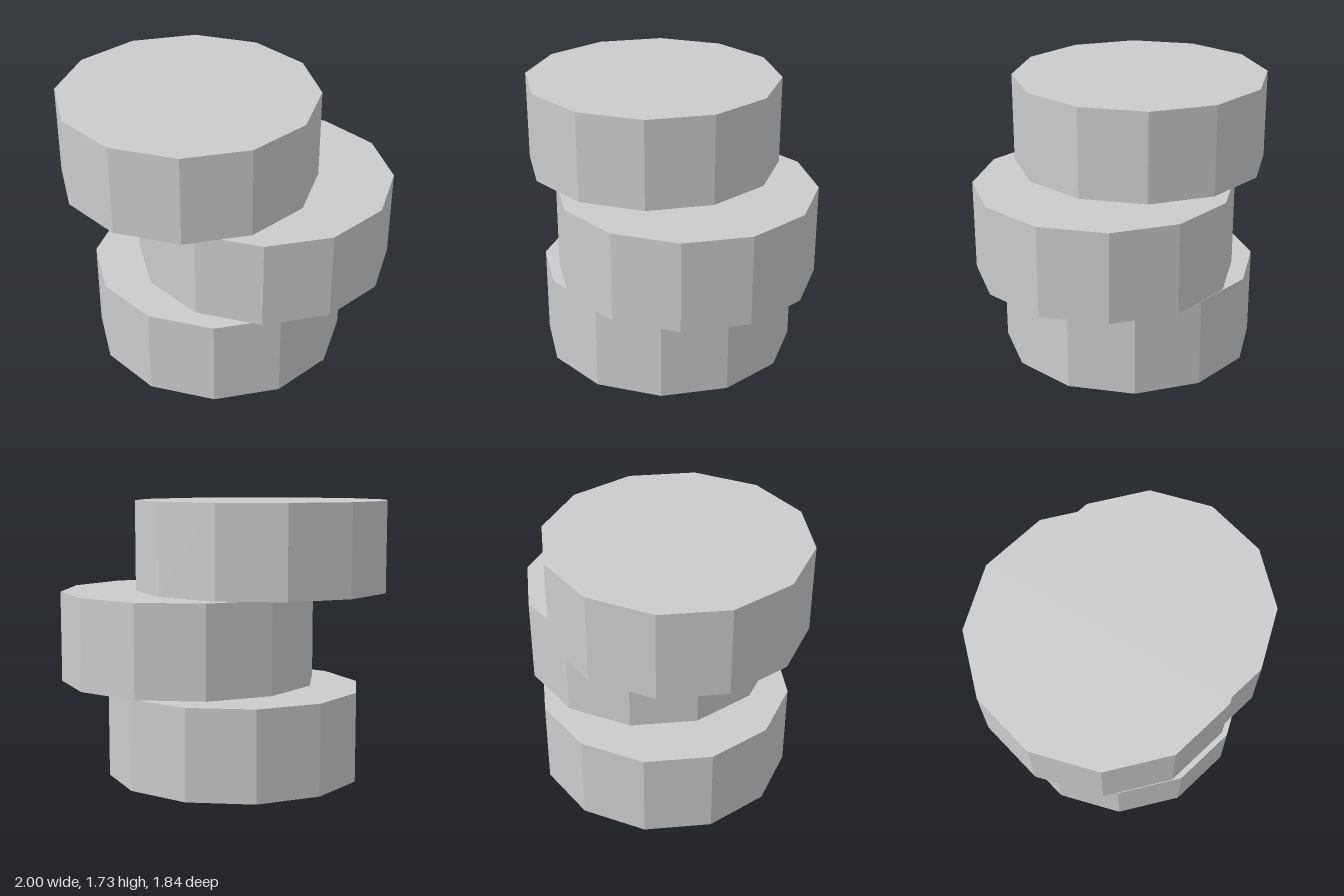
import * as THREE from 'three';

export function createModel() {
  const group = new THREE.Group();
  group.name = 'stackedDiscs';

  const lightGrey = new THREE.MeshStandardMaterial({ color: 0xcccccc, flatShading: true });
  lightGrey.name = 'lightGrey';

  // Three equal twelve-sided discs, stacked off-centre
  const height = 0.56;
  const disc = new THREE.CylinderGeometry(0.8, 0.8, height, 12);
  const discs = [
    ['bottomDisc', -0.04, 0, -0.04],
    ['middleDisc', 0.2, 0.61, 0.12],
    ['topDisc', -0.2, 1.17, -0.12],
  ];
  for (const [name, x, base, z] of discs) {
    const mesh = new THREE.Mesh(disc, lightGrey);
    mesh.name = name;
    mesh.position.set(x, base + height / 2, z);
    group.add(mesh);
  }
  return group;
}
